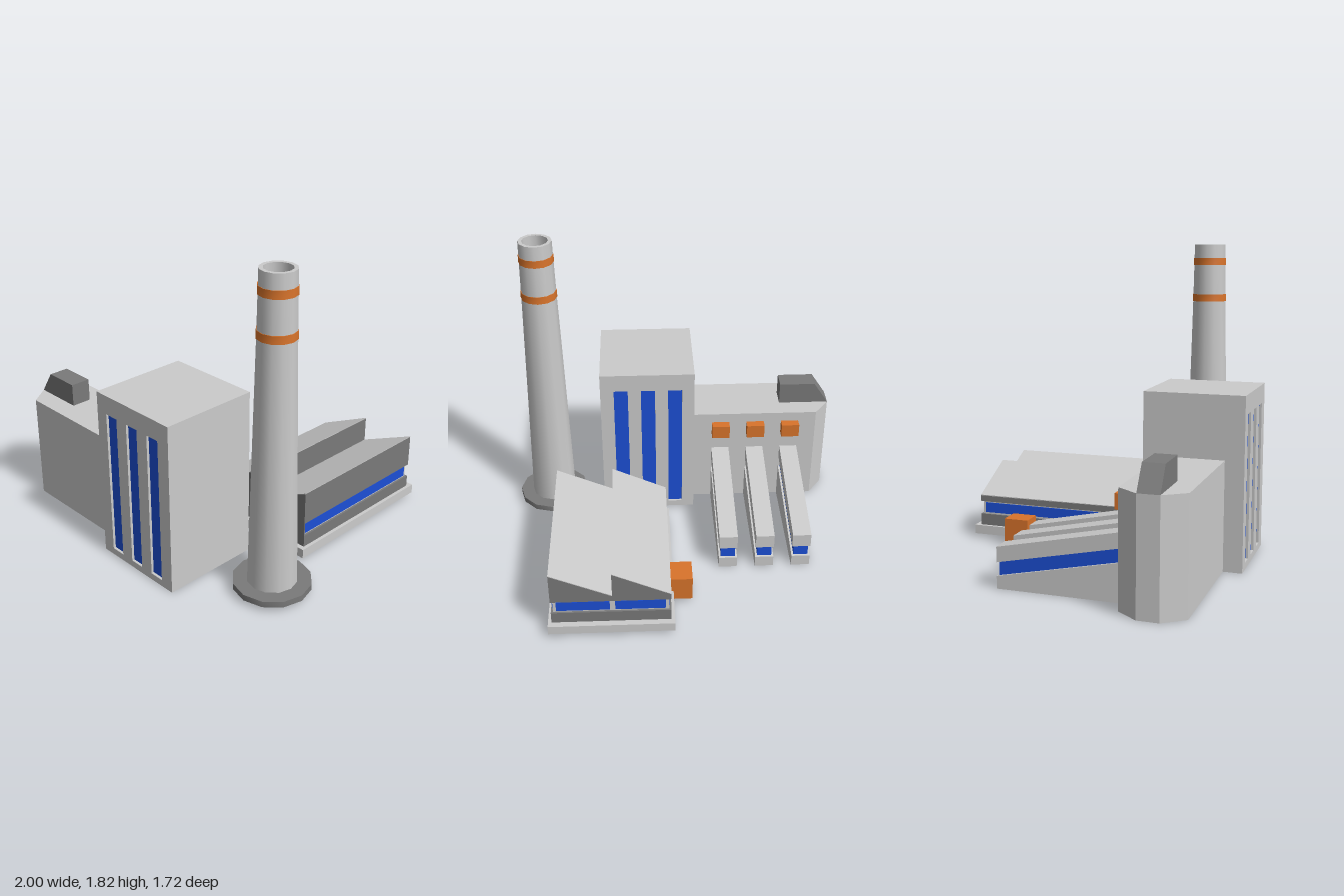
import * as THREE from 'three';
import { toCreasedNormals } from 'three/addons/utils/BufferGeometryUtils.js';

const paint = (color) => new THREE.MeshStandardMaterial({ color });
const grey = paint(0xcccccc);
const dark = paint(0x7a7a7a);
const blue = paint(0x1c4fd6);
const orange = paint(0xd9742b);

function add(parent, name, geometry, material) {
  const mesh = new THREE.Mesh(geometry, material);
  mesh.name = name;
  parent.add(mesh);
  return mesh;
}

// box given by its limits on each axis
function box(x0, x1, y0, y1, z0, z1) {
  return new THREE.BoxGeometry(x1 - x0, y1 - y0, z1 - z0)
    .translate((x0 + x1) / 2, (y0 + y1) / 2, (z0 + z1) / 2);
}

function polygon(points) {
  return new THREE.Shape(points.map(([a, b]) => new THREE.Vector2(a, b)));
}

const extrude = (shape, depth) =>
  new THREE.ExtrudeGeometry(shape, { depth, bevelEnabled: false });

// prism with an (x, y) outline running from z0 to z1
const prismZ = (points, z0, z1) => extrude(polygon(points), z1 - z0).translate(0, 0, z0);

// prism with a (z, y) outline running from x0 to x1
const prismX = (points, x0, x1) =>
  extrude(polygon(points), x1 - x0).rotateY(-Math.PI / 2).translate(x1, 0, 0);

// twelve-sided turned part with sharp rims
function turned(points) {
  const profile = points.map(([r, y]) => new THREE.Vector2(r, y));
  return toCreasedNormals(new THREE.LatheGeometry(profile, 12), 0.6);
}

function createTower() {
  const g = new THREE.Group();
  g.name = 'tower';
  const shape = polygon([[-0.13, 0], [0.445, 0], [0.445, 1], [-0.13, 1]]);
  for (const x of [-0.012, 0.154, 0.32]) {
    const [a, b] = [x - 0.043, x + 0.043];
    shape.holes.push(polygon([[a, 0.04], [a, 0.89], [b, 0.89], [b, 0.04]]));
    add(g, 'towerWindow', box(a, b, 0.04, 0.89, 0.295, 0.845), blue);
  }
  add(g, 'towerWalls', extrude(shape, 0.58).translate(0, 0, 0.28), grey);
  return g;
}

function createHall() {
  const g = new THREE.Group();
  g.name = 'hall';
  // footprint with a chamfered end, outlined in (x, -z)
  const plan = polygon([[-1, -0.63], [-0.91, -0.75], [-0.13, -0.75],
    [-0.13, -0.39], [-0.91, -0.39], [-1, -0.51]]);
  add(g, 'hallWalls', extrude(plan, 0.635).rotateX(-Math.PI / 2), grey);
  add(g, 'roofHousing',
    prismZ([[-1, 0.635], [-0.69, 0.635], [-0.69, 0.77], [-0.91, 0.77]], 0.51, 0.63), dark);

  // sloping conveyors, each with a vent box above it
  for (const x of [-0.745, -0.525, -0.305]) {
    const [a, b, e, inset] = [x - 0.055, x + 0.055, -0.325, 0.012];
    add(g, 'conveyorBase', prismX([[e, 0], [0.39, 0], [0.39, 0.22], [e, 0.07]], a, b), grey);
    add(g, 'conveyorGlazing',
      prismX([[e + inset, 0.07], [0.39, 0.22], [0.39, 0.295], [e + inset, 0.147]],
        a + inset, b - inset), blue);
    add(g, 'conveyorRoof',
      prismX([[e, 0.145], [0.39, 0.295], [0.39, 0.38], [e, 0.23]], a, b), grey);
    add(g, 'vent', box(a, b, 0.49, 0.575, 0.335, 0.39), orange);
  }
  return g;
}

function createWorkshop() {
  const g = new THREE.Group();
  g.name = 'workshop';
  const [x0, xm, x1, z0, z1] = [0.055, 0.382, 0.725, -0.83, 0.122];
  add(g, 'slab', box(0.035, 0.745, 0.025, 0.08, -0.865, 0.15), grey);
  add(g, 'lowerWall', box(x0, x1, 0.08, 0.15, z0, z1), dark);
  add(g, 'frontWall', box(x0, x1, 0.15, 0.23, z1 - 0.005, z1), dark);

  // recessed window band
  add(g, 'windowBand', box(x0 + 0.012, x1 - 0.012, 0.15, 0.23, z0 + 0.012, z1 - 0.005), grey);
  add(g, 'sideWindows', box(x0 + 0.007, x1 - 0.007, 0.16, 0.222, -0.802, 0.11), blue);
  for (const [a, b] of [[x0 + 0.03, xm - 0.015], [xm + 0.015, x1 - 0.03]]) {
    add(g, 'backWindow', box(a, b, 0.16, 0.222, z0 + 0.007, z0 + 0.05), blue);
  }

  // sawtooth upper part with light roof sheets
  add(g, 'sawtoothWall',
    prismZ([[x0, 0.23], [x1, 0.23], [x1, 0.422], [xm, 0.267], [xm, 0.422], [x0, 0.267]],
      z0, z1), dark);
  for (const [a, b] of [[x0, xm], [xm, x1]]) {
    add(g, 'roofSheet',
      prismZ([[a, 0.266], [b, 0.421], [b, 0.426], [a, 0.271]], z0, z1), grey);
  }
  add(g, 'sideUnit', box(-0.075, x0, 0.02, 0.17, -0.61, -0.46), orange);
  return g;
}

function createChimney() {
  const g = new THREE.Group();
  g.name = 'chimney';
  add(g, 'chimneyFoot',
    turned([[0.115, 0.025], [0.218, 0.025], [0.218, 0.06], [0.115, 0.06], [0.115, 0.025]]), dark);
  add(g, 'chimneyShaft',
    turned([[0.115, 0.03], [0.139, 0.03], [0.104, 1.46], [0.0975, 1.815],
      [0.076, 1.815], [0.08, 1.46], [0.115, 0.03]]), grey);
  // painted bands, solid across the shaft
  for (const [y, r] of [[1.485, 0.106], [1.71, 0.102]]) {
    const band = new THREE.CylinderGeometry(r, r + 0.001, 0.044, 12).translate(0, y, 0);
    add(g, 'chimneyBand', toCreasedNormals(band, 0.6), orange);
  }
  g.position.set(0.78, 0, 0.437);
  return g;
}

export function createModel() {
  const model = new THREE.Group();
  model.name = 'powerPlant';
  model.add(createTower(), createHall(), createWorkshop(), createChimney());
  return model;
}
